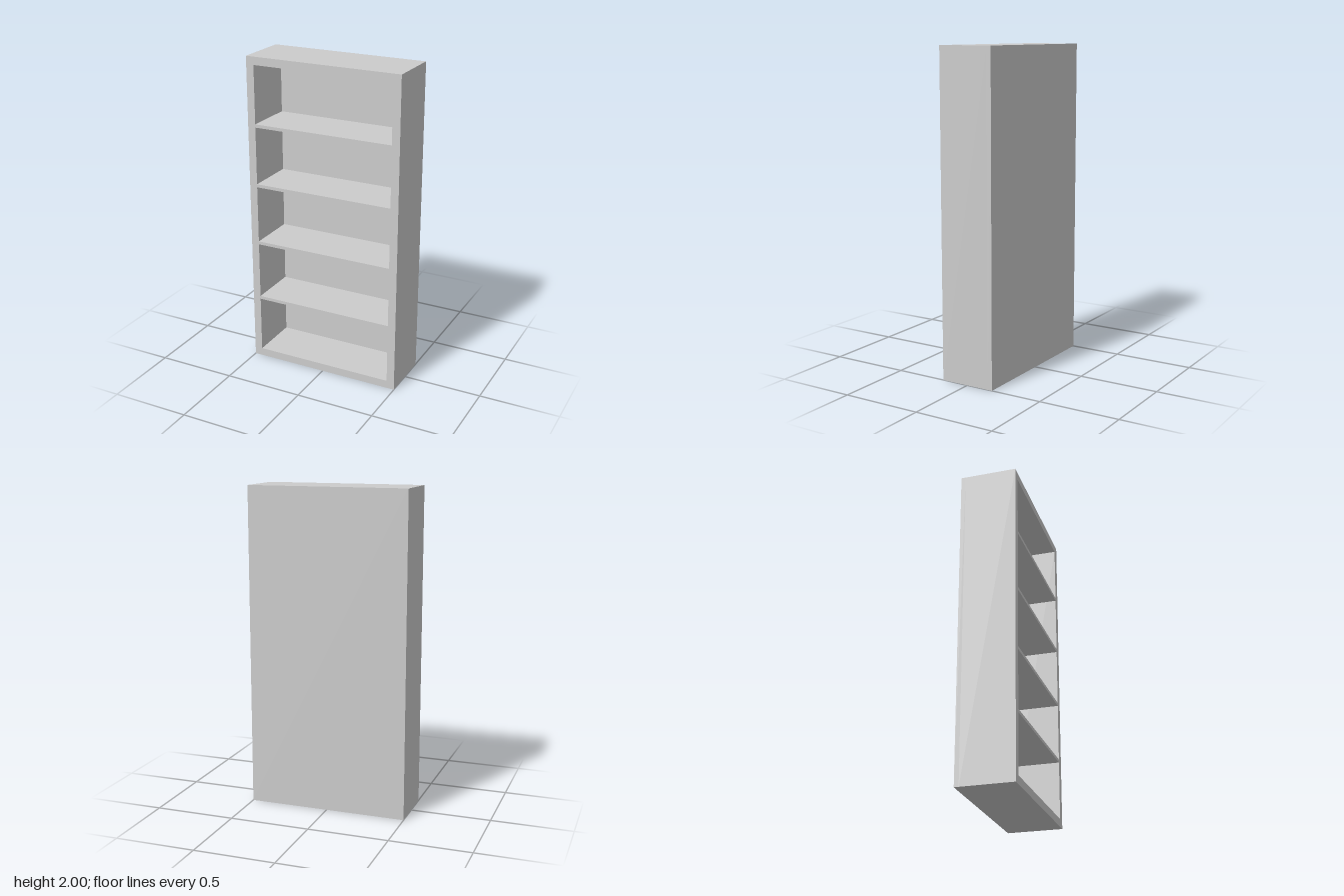
import * as THREE from 'three';

const W = 1, H = 2, D = 0.35;          // outer size
const WALL = 0.05, BACK = 0.028, SHELF = 0.02;
const BAYS = 5;

export function createModel() {
  const group = new THREE.Group();
  group.name = 'bookcase';
  const material = new THREE.MeshStandardMaterial({ color: 0xcccccc });

  const add = (name, geometry, x, y, z) => {
    const mesh = new THREE.Mesh(geometry, material);
    mesh.name = name;
    mesh.position.set(x, y, z);
    group.add(mesh);
  };

  // Rectangle outline centred on x, between two heights
  const rectangle = (PathType, width, y0, y1) => {
    const path = new PathType();
    path.moveTo(-width / 2, y0);
    path.lineTo(width / 2, y0);
    path.lineTo(width / 2, y1);
    path.lineTo(-width / 2, y1);
    path.closePath();
    return path;
  };

  // Outer frame: sides, top and base in one piece
  const innerW = W - 2 * WALL, innerH = H - 2 * WALL, innerD = D - BACK;
  const outline = rectangle(THREE.Shape, W, 0, H);
  outline.holes.push(rectangle(THREE.Path, innerW, WALL, H - WALL));
  const frame = new THREE.ExtrudeGeometry(outline, { depth: innerD, bevelEnabled: false });
  add('frame', frame, 0, 0, -D / 2 + BACK);

  // Back panel closing the frame
  add('backPanel', new THREE.BoxGeometry(W, H, BACK), 0, H / 2, -D / 2 + BACK / 2);

  // Evenly spaced shelves, flush with the front
  const bayH = (innerH - (BAYS - 1) * SHELF) / BAYS;
  const shelf = new THREE.BoxGeometry(innerW, SHELF, innerD);
  for (let i = 1; i < BAYS; i++) {
    const y = WALL + i * bayH + (i - 0.5) * SHELF;
    add(`shelf${i}`, shelf, 0, y, BACK / 2);
  }

  return group;
}
